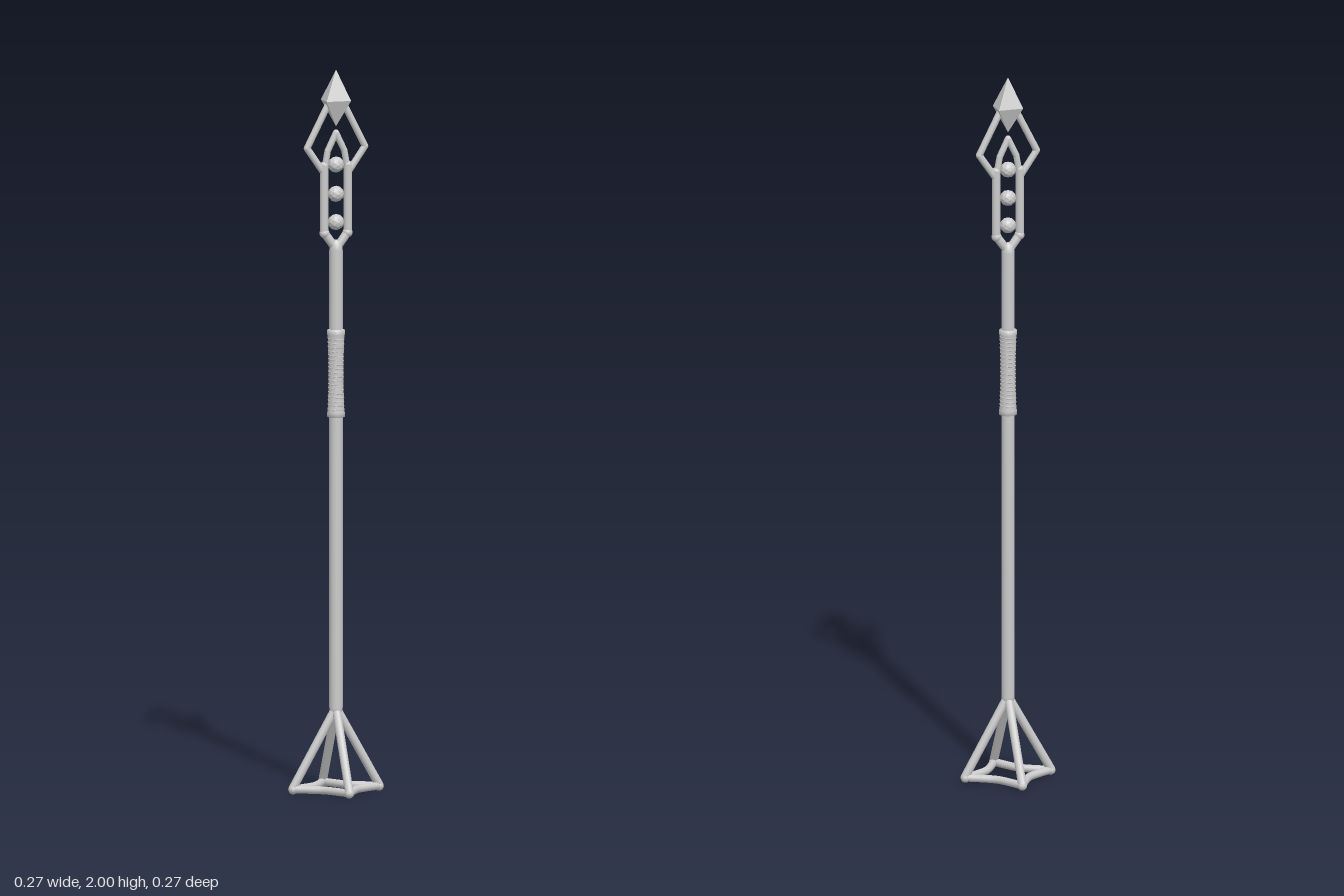
import * as THREE from 'three';

const material = new THREE.MeshStandardMaterial({ color: 0xcccccc });
const facetedMaterial = new THREE.MeshStandardMaterial({ color: 0xcccccc, flatShading: true });
const v = (x, y, z = 0) => new THREE.Vector3(x, y, z);

function add(parent, name, geometry, mat = material) {
  const mesh = new THREE.Mesh(geometry, mat);
  mesh.name = name;
  parent.add(mesh);
  return mesh;
}

// Round rod along straight segments, with ball joints at every corner
function addRod(parent, name, points, radius) {
  const rod = new THREE.Group();
  rod.name = name;
  const path = new THREE.CurvePath();
  for (let i = 1; i < points.length; i++) {
    path.add(new THREE.LineCurve3(points[i - 1], points[i]));
  }
  path.curves.forEach((c) => add(rod, name + 'Segment', new THREE.TubeGeometry(c, 1, radius, 12)));
  points.forEach((p) => {
    add(rod, name + 'Joint', new THREE.SphereGeometry(radius, 12, 8)).position.copy(p);
  });
  parent.add(rod);
  return rod;
}

function addLathe(parent, name, profile) {
  const points = profile.map(([r, y]) => new THREE.Vector2(r, y));
  return add(parent, name, new THREE.LatheGeometry(points, 24));
}

export function createModel() {
  const staff = new THREE.Group();
  staff.name = 'staff';

  // Shaft
  addLathe(staff, 'shaft', [[0, 0.205], [0.013, 0.21], [0.0185, 0.235], [0.0185, 1.5], [0.015, 1.525], [0, 1.53]]);

  // Waisted grip with end collars and a fine spiral wrap
  const gripRadius = (t) => 0.0205 + 0.0025 * Math.pow(2 * t - 1, 2);
  const grip = [[0.018, 1.038], [0.0245, 1.04], [0.0245, 1.052]];
  for (let i = 0; i <= 10; i++) grip.push([gripRadius(i / 10), 1.055 + 0.21 * i / 10]);
  grip.push([0.0245, 1.268], [0.0245, 1.28], [0.018, 1.282]);
  addLathe(staff, 'grip', grip);
  const turns = 18;
  const spiral = [];
  for (let i = 0; i <= turns * 12; i++) {
    const t = i / (turns * 12);
    const a = t * turns * Math.PI * 2;
    const r = gripRadius(t);
    spiral.push(v(Math.cos(a) * r, 1.057 + 0.206 * t, Math.sin(a) * r));
  }
  add(staff, 'gripWrap', new THREE.TubeGeometry(new THREE.CatmullRomCurve3(spiral), turns * 16, 0.0015, 5));

  // Four-legged foot with inward-curved rails joining the toes
  const foot = new THREE.Group();
  foot.name = 'foot';
  staff.add(foot);
  for (let i = 0; i < 4; i++) {
    const side = new THREE.Group();
    side.name = 'footSide';
    side.rotation.y = i * Math.PI / 2;
    foot.add(side);
    addRod(side, 'footLeg', [v(0.006, 0.225), v(0.124, 0.016)], 0.012);
    const rail = new THREE.CatmullRomCurve3([
      v(0.124, 0.014), v(0.085, 0.014, 0.021), v(0.047, 0.014, 0.047),
      v(0.021, 0.014, 0.085), v(0, 0.014, 0.124),
    ]);
    add(side, 'footRail', new THREE.TubeGeometry(rail, 24, 0.011, 12));
    add(side, 'toe', new THREE.SphereGeometry(0.0135, 16, 10)).position.set(0.123, 0.0135, 0);
  }

  // Forked head, mirrored left and right
  const head = new THREE.Group();
  head.name = 'head';
  staff.add(head);
  for (const s of [-1, 1]) {
    addRod(head, 'forkBar', [v(s * 0.006, 1.512), v(s * 0.034, 1.55), v(s * 0.034, 1.735)], 0.012);
    addRod(head, 'innerArch', [v(s * 0.032, 1.73), v(s * 0.024, 1.775), v(0, 1.825)], 0.009);
    addRod(head, 'outerProng', [v(s * 0.035, 1.715), v(s * 0.083, 1.785), v(s * 0.022, 1.905)], 0.0095);
    add(head, 'forkKnuckle', new THREE.SphereGeometry(0.014, 16, 10)).position.set(s * 0.033, 1.548, 0);
  }

  // Faceted beads held between the bars
  for (const y of [1.578, 1.656, 1.737]) {
    add(head, 'bead', new THREE.IcosahedronGeometry(0.0225, 1), facetedMaterial).position.y = y;
  }

  // Four-sided spear crystal, wider across than deep
  const crystal = new THREE.Group();
  crystal.name = 'crystal';
  crystal.scale.set(1, 1, 0.77);
  const half = 0.035 * Math.SQRT2;
  const upper = add(crystal, 'crystalTip', new THREE.ConeGeometry(half, 0.085, 4, 1, true), facetedMaterial);
  upper.rotation.y = Math.PI / 4;
  upper.position.y = 1.9575;
  const lower = add(crystal, 'crystalBase', new THREE.ConeGeometry(half, 0.072, 4, 1, true), facetedMaterial);
  lower.rotation.set(Math.PI, Math.PI / 4, 0);
  lower.position.y = 1.879;
  head.add(crystal);

  return staff;
}
